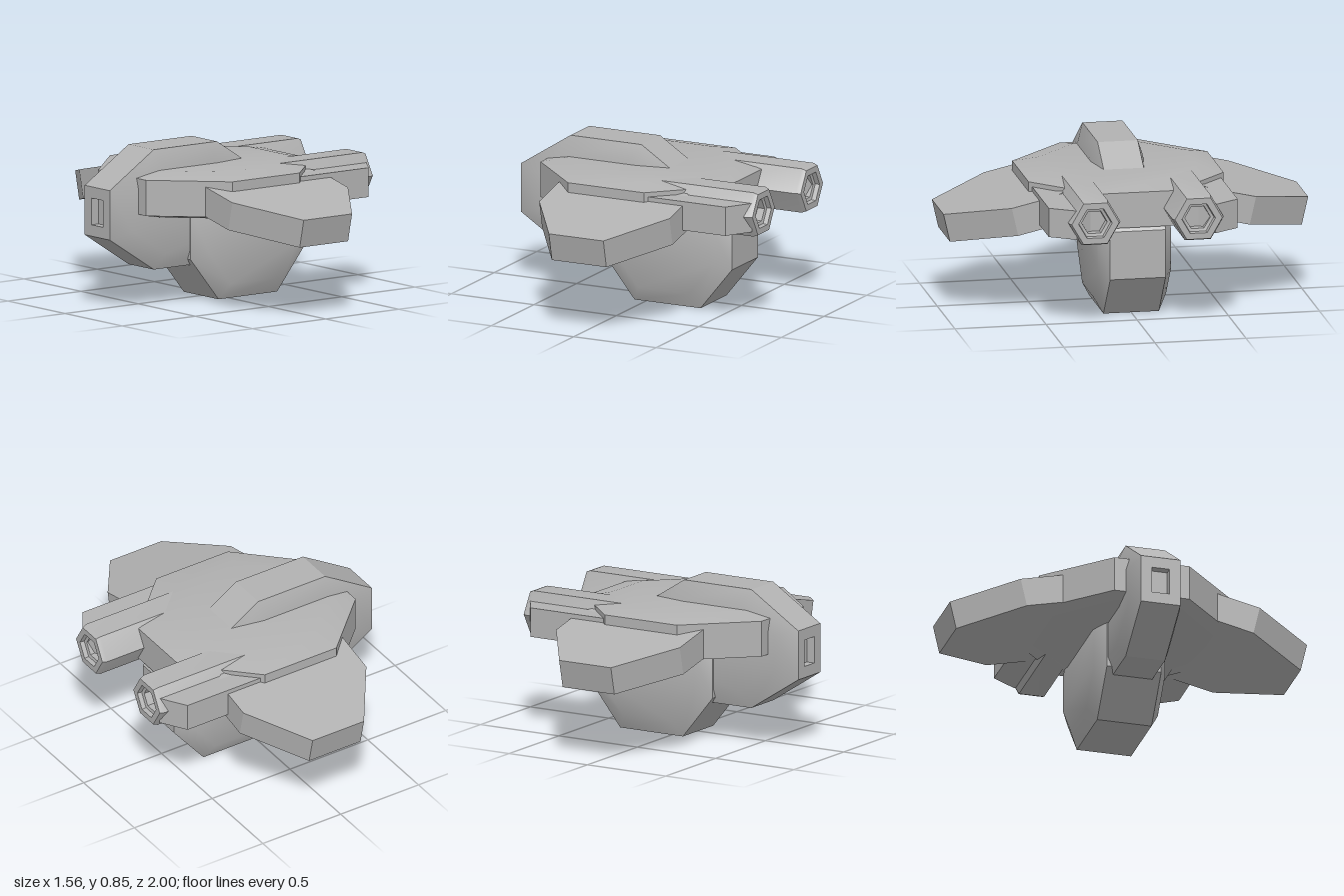
import * as THREE from 'three';
import { toCreasedNormals } from 'three/addons/utils/BufferGeometryUtils.js';

const CREASE = 0.53;
const hull = new THREE.MeshStandardMaterial({ color: 0xb2b2b2 });
hull.name = 'hull grey';

function add(parent, name, geometry) {
  const mesh = new THREE.Mesh(geometry, hull);
  mesh.name = name;
  parent.add(mesh);
  return mesh;
}

// Counter-clockwise octagon: half sizes w, h and half lengths of the flat edges fw, fh
function octagon(w, h, fw, fh) {
  return [[w, -fh], [w, fh], [fw, h], [-fw, h], [-w, fh], [-w, -fh], [-fw, -h], [fw, -h]];
}

// Slab along z with a straight rim and shallow sloping bevels up to both faces
function slab(outline, rim, face, inset, openEdge = -1) {
  const n = outline.length, v = [];
  const rings = [[-face, inset], [-rim, 1], [rim, 1], [face, inset]]
    .map(([z, s]) => outline.map(([x, y]) => [x * s, y * s, z]));
  const tri = (a, b, c) => v.push(...a, ...b, ...c);
  for (let k = 0; k < 3; k++) {
    for (let i = 0; i < n; i++) {
      if (k === 1 && i === openEdge) continue;
      const j = (i + 1) % n, lo = rings[k], hi = rings[k + 1];
      tri(lo[i], lo[j], hi[j]);
      tri(lo[i], hi[j], hi[i]);
    }
  }
  for (let i = 1; i < n - 1; i++) {
    tri(rings[3][0], rings[3][i], rings[3][i + 1]);
    tri(rings[0][0], rings[0][i + 1], rings[0][i]);
  }
  const g = new THREE.BufferGeometry();
  g.setAttribute('position', new THREE.Float32BufferAttribute(v, 3));
  return toCreasedNormals(g, CREASE);
}

// Flat plan in x/z, extruded downward from y = 0
function plan(points, depth) {
  const shape = new THREE.Shape(points.map(([x, z]) => new THREE.Vector2(x, z)));
  return new THREE.ExtrudeGeometry(shape, { depth, bevelEnabled: false }).rotateX(Math.PI / 2);
}

export function createModel() {
  const model = new THREE.Group();
  model.name = 'spacecraft';

  // Wide central deck
  const deck = slab(octagon(0.565, 0.535, 0.23, 0.21), 0.0975, 0.1275, 0.75).rotateX(-Math.PI / 2);
  add(model, 'deck', deck).position.set(-0.045, 0.6175, 0);

  // Keel pod below the deck
  add(model, 'keelPod', slab(octagon(0.39, 0.3675, 0.2, 0.1325), 0.152, 0.2, 0.77))
    .position.set(0.13, 0.3675, 0);

  // Tall rear pod with a square recessed port
  const rear = new THREE.Group();
  rear.name = 'rearPod';
  rear.position.set(-0.265, 0.5275, 0);
  model.add(rear);
  add(rear, 'rearShell', slab(octagon(0.515, 0.3275, 0.215, 0.135), 0.11, 0.145, 0.74, 4));
  const rect = (w, h) => [[-w, -h], [w, -h], [w, h], [-w, h]].map(([x, y]) => new THREE.Vector2(x, y));
  const frame = new THREE.Shape(rect(0.11, 0.135));
  frame.holes.push(new THREE.Path(rect(0.05, 0.073)));
  const frameGeometry = new THREE.ExtrudeGeometry(frame, { depth: 0.05, bevelEnabled: false });
  add(rear, 'portFrame', frameGeometry.rotateY(-Math.PI / 2)).position.x = -0.465;
  add(rear, 'portFloor', new THREE.BoxGeometry(0.01, 0.16, 0.12)).position.x = -0.462;

  // Hexagonal barrel with a bevelled lip and stepped bore
  const profile = [[0, 0], [0.141, 0], [0.141, 0.755], [0.13, 0.78], [0.092, 0.78],
    [0.088, 0.755], [0.07, 0.75], [0.068, 0.71], [0, 0.71]].map(([r, h]) => new THREE.Vector2(r, h));
  const barrel = toCreasedNormals(new THREE.LatheGeometry(profile, 6).rotateZ(-Math.PI / 2), CREASE);

  // Drooping wings, barrels and their side housings
  const wing = plan([[-0.2, 0.2], [0.2, 0.2], [0.395, 0.44], [0.395, 0.687],
    [0.165, 1.0256], [-0.165, 1.0256], [-0.395, 0.687], [-0.395, 0.44]], 0.158).rotateX(0.224);
  for (const side of [1, -1]) {
    const label = side > 0 ? 'front' : 'back';
    const w = add(model, label + 'Wing', wing);
    w.position.set(0.015, 0.783, 0);
    w.rotation.y = side > 0 ? 0 : Math.PI;
    add(model, label + 'Barrel', barrel).position.set(0, 0.62, 0.283 * side);
    const housing = [[0, 0.28], [0.7, 0.28], [0.76, 0.38], [0.67, 0.518], [0.15, 0.518], [0, 0.4]];
    add(model, label + 'Housing', plan(housing.map(([x, z]) => [x, z * side]), 0.16)).position.y = 0.69;
  }
  return model;
}
